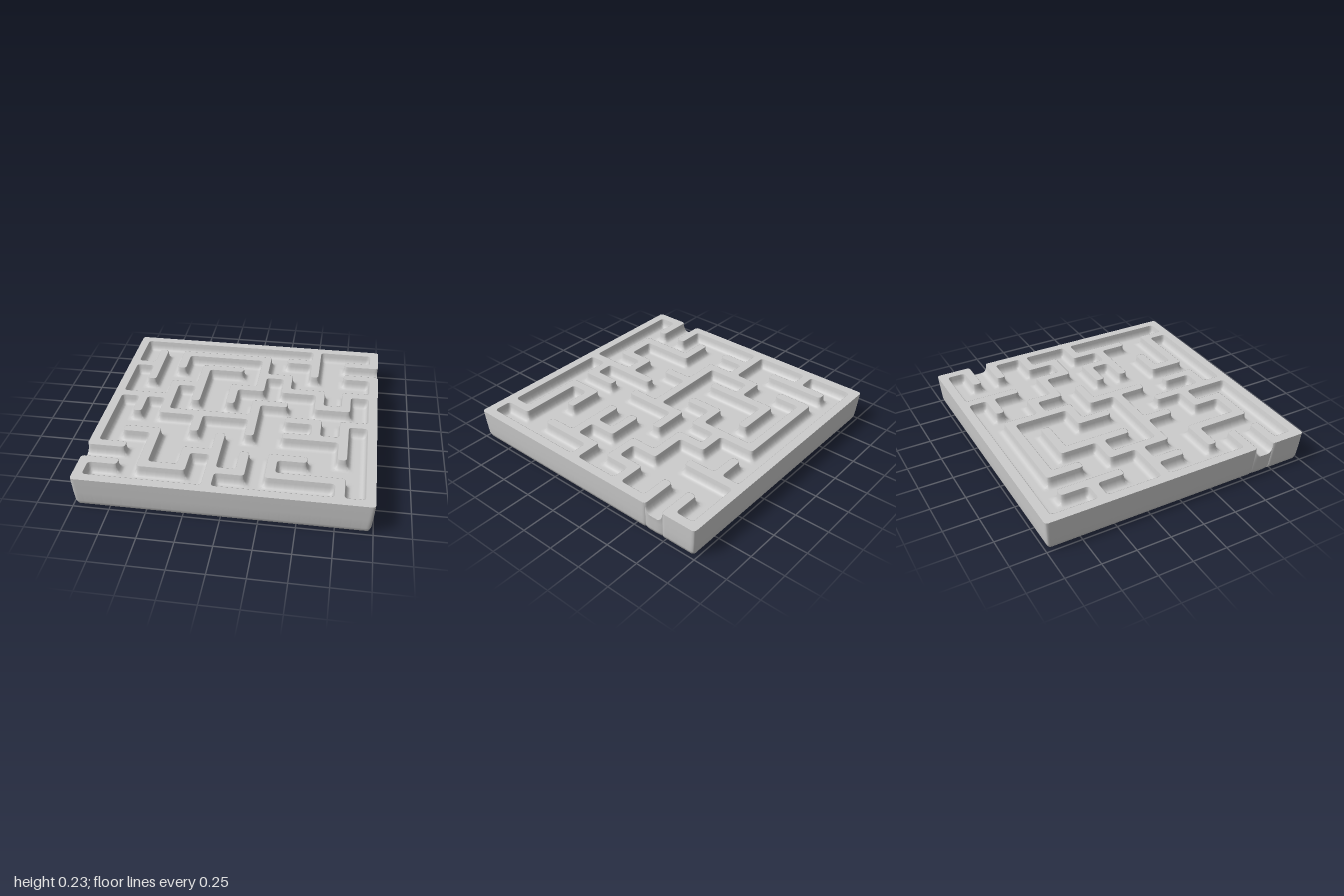
import * as THREE from 'three';

const CELLS = 30;                // board is 30 x 30 cells; walls are one cell wide
const CELL = 2 / CELLS;
const TOP = 0.23, FLOOR = 0.155;
const FILLET = 0.65;             // width of the curved wall foot, in cells
const ROUND = 0.35;              // plan radius of wall corners, in cells
const STEPS = [0, 0.04, 0.14, 0.32, 0.5, 0.68, 0.86, 0.96]; // grid lines inside a cell
const N = CELLS * STEPS.length;

// Each wall path: start column, start row, then alternately the next column and next row
const PATHS = [
  [22, 0, 22, 6], [19, 3, 22], [26, 3, 29], [26, 6, 29],
  [0, 6, 3], [3, 3, 3, 9],
  [6, 6, 6, 3, 16, 10, 13, 13], [16, 7, 19, 10, 23, 13, 26, 10, 29], [13, 6, 9, 13],
  [0, 13, 6], [3, 13, 3, 16], [9, 10, 6, 16, 16, 13, 19], [16, 16, 16, 19], [10, 16, 10, 19],
  [20, 16, 23, 19], [20, 19, 26, 16, 29], [26, 19, 26, 22],
  [3, 20, 6, 26, 10, 23, 13], [13, 20, 13, 29], [13, 26, 16, 23],
  [22, 23, 19, 26, 26, 29], [0, 23, 3], [0, 26, 3],
];

// Mark the wall cells: border, paths, then the two openings
function buildCells() {
  const cells = Array.from({ length: CELLS }, () => new Array(CELLS).fill(false));
  const line = (c0, r0, c1, r1, value = true) => {
    for (let c = Math.min(c0, c1); c <= Math.max(c0, c1); c++)
      for (let r = Math.min(r0, r1); r <= Math.max(r0, r1); r++) cells[c][r] = value;
  };
  const e = CELLS - 1;
  line(0, 0, e, 0); line(0, e, e, e); line(0, 0, 0, e); line(e, 0, e, e);
  for (const path of PATHS) {
    let [c, r] = path;
    path.slice(2).forEach((to, k) => {
      const c1 = k % 2 ? c : to, r1 = k % 2 ? to : r;
      line(c, r, c1, r1);
      c = c1; r = r1;
    });
  }
  line(e, 4, e, 5, false);
  line(0, 24, 0, 25, false);
  return (c, r) => c >= 0 && r >= 0 && c < CELLS && r < CELLS && cells[c][r];
}

// Corners where one of the four cells around a lattice point differs from the rest
function findCorners(isWall) {
  const corners = [];
  for (let c = 0; c <= CELLS; c++) for (let r = 0; r <= CELLS; r++) {
    const around = [[-1, -1], [0, -1], [-1, 0], [0, 0]].map(([a, b]) => ({ a, b, w: isWall(c + a, r + b) }));
    const count = around.filter((q) => q.w).length;
    if (count !== 1 && count !== 3) continue;
    const odd = around.find((q) => q.w === (count === 1));
    const sx = odd.a ? 1 : -1, sz = odd.b ? 1 : -1; // from the odd cell towards the corner
    corners.push({ x: c - sx * ROUND, z: r - sz * ROUND, sx, sz });
  }
  return corners;
}

// Surface height from the square distance to the nearest wall cell
function heightAt(isWall, x, z) {
  const c = Math.min(Math.floor(x), CELLS - 1), r = Math.min(Math.floor(z), CELLS - 1);
  const u = x - c, v = z - r;
  let d = 1;
  for (let a = -1; a <= 1; a++) for (let b = -1; b <= 1; b++) {
    if (!isWall(c + a, r + b)) continue;
    d = Math.min(d, Math.max([u, 0, 1 - u][a + 1], [v, 0, 1 - v][b + 1]));
  }
  const t = Math.max(0, 1 - d / FILLET);
  return FLOOR + (TOP - FLOOR) * (1 - Math.sqrt(1 - t ** 3));
}

// Bend square contours into round ones near each corner
function roundCorners(corners, x, z) {
  for (const k of corners) {
    const a = (x - k.x) * k.sx, b = (z - k.z) * k.sz;
    const m = Math.max(a, b);
    if (a <= 0 || b <= 0 || m > ROUND + 0.6) continue;
    const w = 1 - THREE.MathUtils.smoothstep(m, ROUND + 0.05, ROUND + 0.6);
    const s = 1 + w * (m / Math.hypot(a, b) - 1);
    x = k.x + a * s * k.sx;
    z = k.z + b * s * k.sz;
  }
  return [x, z];
}

function makeGeometry(positions, index) {
  const g = new THREE.BufferGeometry();
  g.setAttribute('position', new THREE.Float32BufferAttribute(positions, 3));
  g.setIndex(index);
  g.computeVertexNormals();
  return g;
}

export function createModel() {
  const group = new THREE.Group();
  group.name = 'mazeBoard';
  const material = new THREE.MeshStandardMaterial({ color: 0xcccccc, side: THREE.DoubleSide });
  const isWall = buildCells();
  const corners = findCorners(isWall);

  // Maze surface: one sheet with raised walls and filleted channels
  const lineAt = (i) => Math.floor(i / STEPS.length) + STEPS[i % STEPS.length];
  const id = (i, j) => j * (N + 1) + i;
  const pos = [], index = [];
  for (let j = 0; j <= N; j++) for (let i = 0; i <= N; i++) {
    const x = lineAt(i), z = lineAt(j);
    const [wx, wz] = roundCorners(corners, x, z);
    pos.push(wx * CELL - 1, heightAt(isWall, x, z), wz * CELL - 1);
  }
  const y = (v) => pos[v * 3 + 1];
  for (let j = 0; j < N; j++) for (let i = 0; i < N; i++) {
    const a = id(i, j), b = id(i, j + 1), c = id(i + 1, j + 1), d = id(i + 1, j);
    if (Math.abs(y(a) - y(c)) < Math.abs(y(b) - y(d))) index.push(a, b, c, a, c, d);
    else index.push(a, b, d, b, c, d);
  }
  const maze = new THREE.Mesh(makeGeometry(pos, index), material);
  maze.name = 'mazeSurface';
  group.add(maze);

  // Outer skirt: follows the sheet's rim, tapers down and curls in; open underneath
  const rim = [];
  for (let k = 0; k < N; k++) rim.push(id(0, k));
  for (let k = 0; k < N; k++) rim.push(id(k, N));
  for (let k = N; k > 0; k--) rim.push(id(N, k));
  for (let k = N; k > 0; k--) rim.push(id(k, 0));
  const profile = [[1, 1], [0.992, 0.5], [0.985, 0.17], [0.976, 0.05], [0.957, 0]]; // plan scale, height share
  const P = rim.length, skirtPos = [], skirtIndex = [];
  profile.forEach(([s, h], k) => rim.forEach((v, p) => {
    skirtPos.push(pos[v * 3] * s, h === 1 ? y(v) : TOP * h, pos[v * 3 + 2] * s);
    if (k === profile.length - 1) return;
    const a = k * P + p, d = k * P + (p + 1) % P;
    skirtIndex.push(a, a + P, d, a + P, d + P, d);
  }));
  const skirt = new THREE.Mesh(makeGeometry(skirtPos, skirtIndex), material);
  skirt.name = 'outerSkirt';
  group.add(skirt);

  return group;
}
